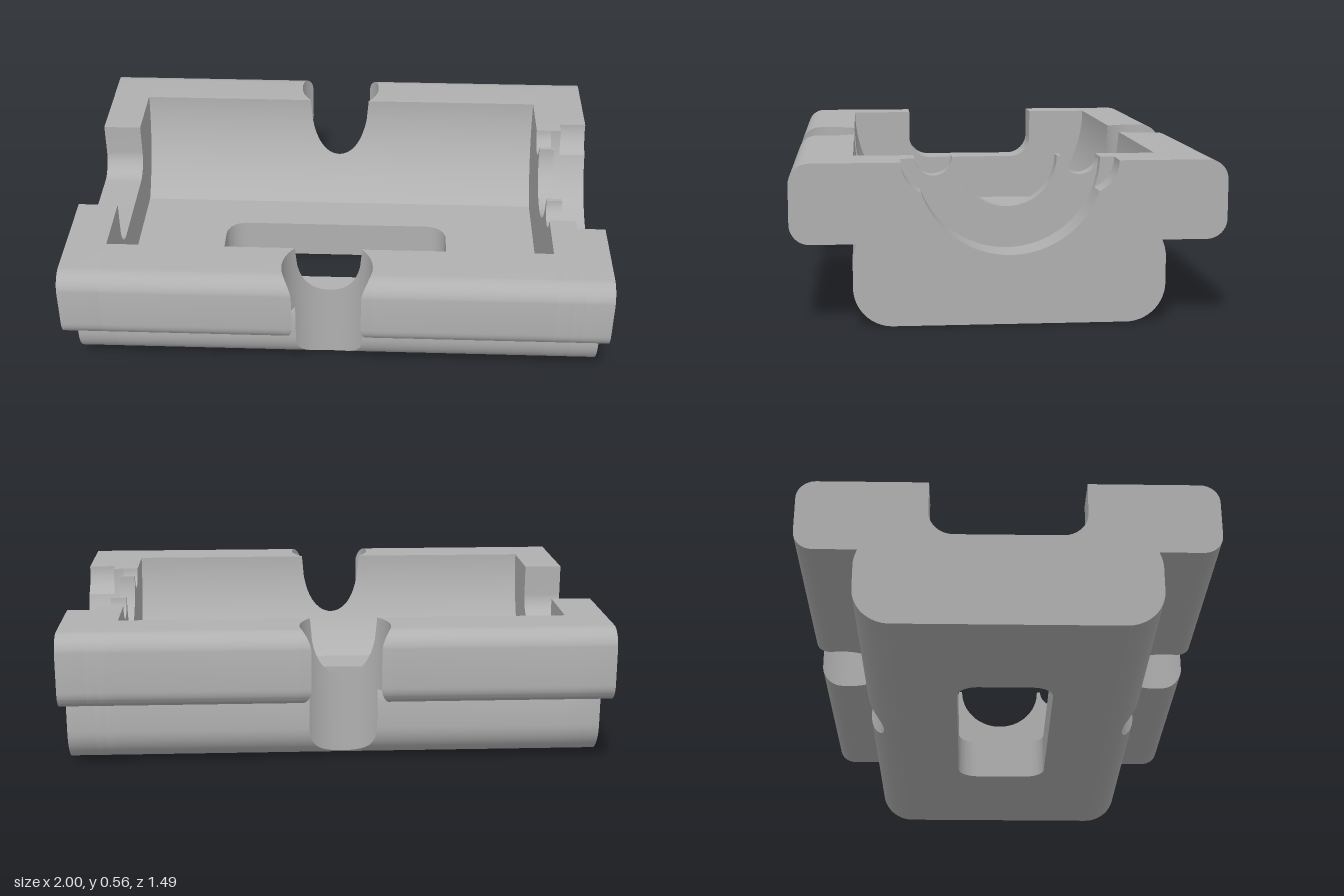
import * as THREE from 'three';
import { toCreasedNormals } from 'three/addons/utils/BufferGeometryUtils.js';

const TOP = 0.56, CAVITY = 0.53, FLOOR_Z = 0.345;
const CUT_X = -0.03, CUT_Z = 0.64, CUT_R = 0.165;
const W = 0.747, FR = 0.07, FZ = W - FR, UNDER = 0.285; // flange
const BW = 0.535, BR = 0.135, BZ = BW - BR;             // lower body

// Points [z, y] along an arc, angles in degrees
function arc(cz, cy, r, a0, a1, n = 16) {
  return Array.from({ length: n + 1 }, (_, i) => {
    const a = THREE.MathUtils.degToRad(a0 + (a1 - a0) * i / n);
    return [cz + r * Math.cos(a), cy + r * Math.sin(a)];
  });
}

// Outside of one half of the block, from the bottom up to the top
const lowerSide = [
  ...arc(BZ, BR, BR, -90, 0), [BW, 0.235], [0.53, 0.262], [0.522, UNDER],
  ...arc(FZ, UNDER + FR, FR, -90, 0, 12),
];
const upperSide = arc(FZ, TOP - FR, FR, 0, 90, 12);

// Underside and top height at distance z from the middle
function lowerY(z) {
  if (z <= BZ) return 0;
  if (z <= BW) return BR - Math.sqrt(Math.max(0, BR * BR - (z - BZ) ** 2));
  if (z <= FZ) return UNDER;
  return UNDER + FR - Math.sqrt(Math.max(0, FR * FR - (z - FZ) ** 2));
}
function upperY(z) {
  if (z < CAVITY) return TOP - Math.sqrt(CAVITY * CAVITY - z * z);
  if (z <= FZ) return TOP;
  return TOP - FR + Math.sqrt(Math.max(0, FR * FR - (z - FZ) ** 2));
}

// Solid end piece: outer outline with a cut from the top, extruded along x
function endPiece(cut, x0, x1) {
  const half = [[0, 0], ...lowerSide, ...upperSide, ...cut];
  const mirrored = half.slice(1).reverse().map(([z, y]) => [-z, y]);
  const shape = new THREE.Shape([...half, ...mirrored].map(([z, y]) => new THREE.Vector2(z, y)));
  const geo = new THREE.ExtrudeGeometry(shape, { depth: x1 - x0, bevelEnabled: false });
  geo.rotateY(Math.PI / 2).translate(x0, 0, 0);
  return toCreasedNormals(geo, 0.5);
}

// Cross-section of a side wall, kept between z = min and z = max
const floorAngle = -THREE.MathUtils.radToDeg(Math.acos(FLOOR_Z / CAVITY));
const wallLower = [[FLOOR_Z, 0], ...lowerSide];
const wallUpper = [...upperSide, ...arc(0, TOP, CAVITY, 0, floorAngle, 32)];
function wallSection(min, max) {
  const clip = (fn) => ([z, y]) => {
    if (z > max) return [max, fn(max)];
    if (z < min) return [min, fn(min)];
    return [z, y];
  };
  return [...wallLower.map(clip(lowerY)), ...wallUpper.map(clip(upperY))];
}

// Skin over a row of { x, pts } sections; side is +1 or -1 in z
function loft(sections, side) {
  const pos = [];
  const a = new THREE.Vector3(), b = new THREE.Vector3();
  const tri = (p, q, r) => {
    a.subVectors(q, p); b.subVectors(r, p);
    if (a.cross(b).length() < 1e-10) return;
    for (const v of side > 0 ? [p, q, r] : [p, r, q]) pos.push(v.x, v.y, v.z);
  };
  const rows = sections.map(({ x, pts }) => pts.map(([z, y]) => new THREE.Vector3(x, y, z * side)));
  for (let k = 0; k + 1 < rows.length; k++) {
    const r0 = rows[k], r1 = rows[k + 1];
    for (let i = 0; i < r0.length; i++) {
      const j = (i + 1) % r0.length;
      tri(r0[i], r1[i], r1[j]);
      tri(r0[i], r1[j], r0[j]);
    }
  }
  const geo = new THREE.BufferGeometry();
  geo.setAttribute('position', new THREE.Float32BufferAttribute(pos, 3));
  return toCreasedNormals(geo, 0.5);
}

// Half depths of the round side notch, from its edge to its middle
const depths = [0.1045, 0.1055, W - CUT_Z, 0.1175, 0.1185];
for (let i = 0; i <= 24; i++) depths.push(CUT_R * Math.sin(i / 24 * Math.PI / 2));
depths.sort((p, q) => p - q);
const offset = (h) => Math.sqrt(Math.max(0, CUT_R * CUT_R - h * h));

export function createModel() {
  const group = new THREE.Group();
  const grey = new THREE.MeshStandardMaterial({ color: 0xb0b0b0 });
  grey.name = 'grey';
  const add = (name, geo) => {
    const mesh = new THREE.Mesh(geo, grey);
    mesh.name = name;
    group.add(mesh);
  };

  // End with the round-cornered channel
  add('channelEnd', endPiece([[0.28, TOP], ...arc(0.19, 0.44, 0.09, 0, -90)], -1, -0.85));

  // Other end: toothed lip, round seat, then seat with side pockets
  const seat = (from) => arc(0, TOP, 0.32, from, -90, 32);
  add('toothedLip', endPiece(
    [...arc(0.255, TOP, 0.065, 0, -180), ...arc(0, TOP, 0.175, 0, -90, 24)], 0.795, 0.855));
  add('roundSeat', endPiece(seat(0), 0.855, 0.895));
  add('pocketedSeat', endPiece(
    [...arc(0.255, TOP, 0.115, 0, -65.8), ...seat(-19.15).slice(1)], 0.895, 1));

  // Floor plate with a rounded slot
  const plate = new THREE.Shape([[-0.85, -FLOOR_Z], [0.795, -FLOOR_Z], [0.795, FLOOR_Z], [-0.85, FLOOR_Z]]
    .map(([x, z]) => new THREE.Vector2(x, z)));
  const r = 0.08, x0 = -0.49 + r, x1 = 0.43 - r, z1 = 0.18 - r;
  const slot = new THREE.Path();
  slot.absarc(x1, z1, r, 0, Math.PI / 2);
  slot.absarc(x0, z1, r, Math.PI / 2, Math.PI);
  slot.absarc(x0, -z1, r, Math.PI, Math.PI * 1.5);
  slot.absarc(x1, -z1, r, Math.PI * 1.5, Math.PI * 2);
  plate.holes.push(slot);
  const floor = new THREE.ExtrudeGeometry(plate, { depth: upperY(FLOOR_Z), bevelEnabled: false, curveSegments: 12 });
  floor.rotateX(-Math.PI / 2);
  add('slottedFloor', toCreasedNormals(floor, 0.5));

  // Side walls with round notches, and the flange tips beside each notch
  const full = wallSection(0, 1);
  const inner = (h, s) => ({ x: CUT_X + s * offset(h), pts: wallSection(0, CUT_Z - h) });
  const outer = (h, s) => ({ x: CUT_X + s * offset(h), pts: wallSection(CUT_Z + h, 1) });
  const tipDepths = depths.filter((h) => h <= W - CUT_Z);
  for (const side of [1, -1]) {
    const label = side > 0 ? 'front' : 'back';
    add(label + 'Wall', loft([
      { x: -0.85, pts: full }, { x: CUT_X - CUT_R, pts: full },
      ...depths.map((h) => inner(h, -1)),
      ...[...depths].reverse().map((h) => inner(h, 1)),
      { x: CUT_X + CUT_R, pts: full }, { x: 0.795, pts: full },
    ], side));
    add(label + 'RightFlangeTip', loft(tipDepths.map((h) => outer(h, -1)), side));
    add(label + 'LeftFlangeTip', loft([...tipDepths].reverse().map((h) => outer(h, 1)), side));
  }
  return group;
}
